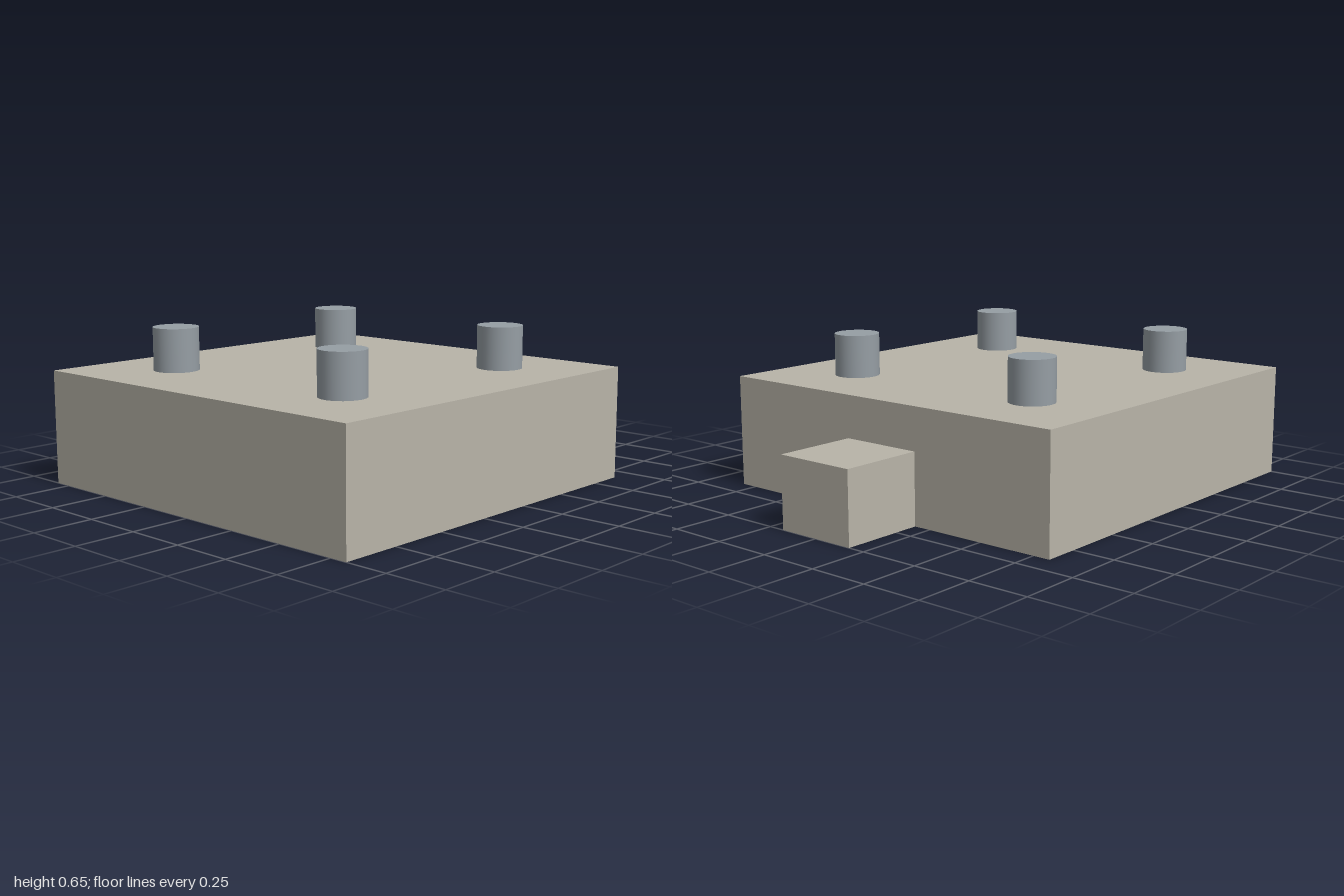
import * as THREE from 'three';

export function createModel() {
  const model = new THREE.Group();
  const bodyMaterial = new THREE.MeshStandardMaterial({ color: 0xb8b4a8 });
  const pegMaterial = new THREE.MeshStandardMaterial({ color: 0x969ea4 });

  const add = (name, geometry, material, x, y, z) => {
    const mesh = new THREE.Mesh(geometry, material);
    mesh.name = name;
    mesh.position.set(x, y, z);
    model.add(mesh);
  };

  // Block standing on the ground, spanning zBack to zFront
  const block = (name, width, height, zBack, zFront) =>
    add(name, new THREE.BoxGeometry(width, height, zFront - zBack), bodyMaterial,
      0, height / 2, (zBack + zFront) / 2);

  const bodyHeight = 0.472;
  const backZ = -0.645;
  block('body', 1.645, bodyHeight, backZ, 1);
  block('backStep', 0.355, 0.296, -1, backZ);

  // Four round pegs on top
  const pegHeight = 0.178;
  const pegGeometry = new THREE.CylinderGeometry(0.094, 0.094, pegHeight, 32);
  for (const [end, z] of [['front', 0.645], ['back', -0.295]]) {
    for (const [side, x] of [['Left', 0.47], ['Right', -0.47]]) {
      add(`${end}${side}Peg`, pegGeometry, pegMaterial, x, bodyHeight + pegHeight / 2, z);
    }
  }

  return model;
}
